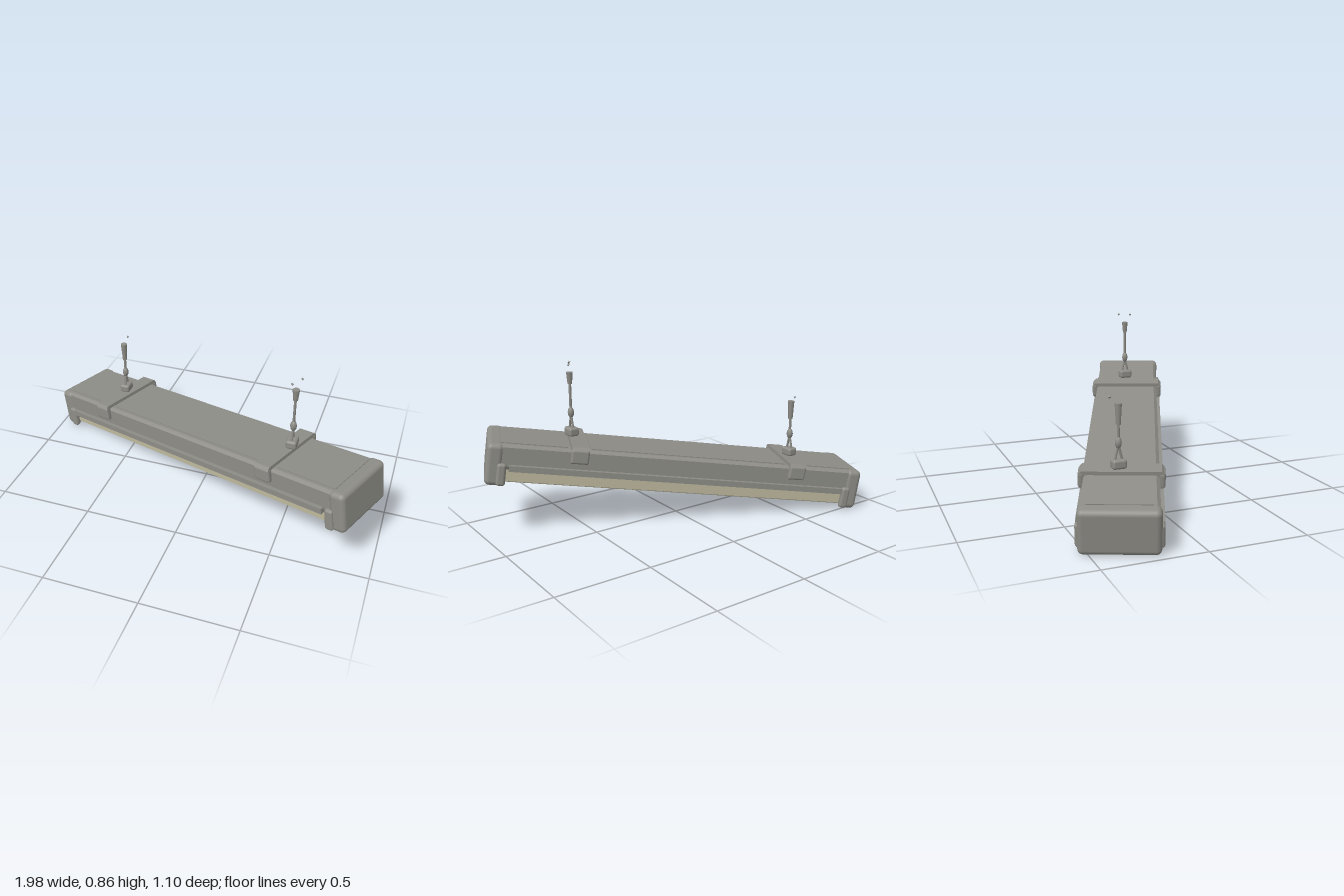
import * as THREE from 'three';
import { RoundedBoxGeometry } from 'three/addons/geometries/RoundedBoxGeometry.js';

const grey = new THREE.MeshStandardMaterial({ color: 0x8e8d87 });
grey.name = 'weathered grey metal';
const cream = new THREE.MeshStandardMaterial({ color: 0xcdc8aa });
cream.name = 'cream diffuser';

function add(parent, name, geometry, material, x = 0, y = 0, z = 0) {
  const mesh = new THREE.Mesh(geometry, material);
  mesh.name = name;
  mesh.position.set(x, y, z);
  parent.add(mesh);
  return mesh;
}

const rounded = (w, h, d, r) => new RoundedBoxGeometry(w, h, d, 3, r);

// Extrudes a mirrored [z, y] half profile along x, centred
function extrudeX(half, length) {
  const mirrored = half.map(([z, y]) => [-z, y]).reverse();
  const shape = new THREE.Shape([...half, ...mirrored].map(([z, y]) => new THREE.Vector2(z, y)));
  const geometry = new THREE.ExtrudeGeometry(shape, { depth: length, bevelEnabled: false });
  return geometry.translate(0, 0, -length / 2).rotateY(Math.PI / 2);
}

// Clamp over the housing with a flap down each side
function makeStrap(x) {
  const strap = new THREE.Group();
  strap.name = 'strap';
  strap.position.x = x;
  const profile = [[0.174, 0.105], [0.174, 0.045], [0.185, 0.038], [0.198, 0.045], [0.198, 0.112], [0.186, 0.125]];
  add(strap, 'strapBand', extrudeX(profile, 0.088), grey);
  for (const side of [-1, 1]) {
    add(strap, 'strapFlap', rounded(0.092, 0.075, 0.03, 0.012), grey, 0, 0.078, side * 0.188);
  }
  return strap;
}

// Vertical hanger: foot, two legs, bead, rod, upper link and loose tips
function makeHanger(x, y, z, linkY, linkHeight, tips) {
  const hanger = new THREE.Group();
  hanger.name = 'hanger';
  hanger.position.set(x, y, z);
  const rod = (name, h, r, py, px = 0, pz = 0) =>
    add(hanger, name, new THREE.CylinderGeometry(r, r, h, 6), grey, px, py, pz);
  add(hanger, 'hangerFoot', rounded(0.055, 0.045, 0.07, 0.012), grey, 0, 0.01, 0);
  for (const side of [-1, 1]) {
    const leg = rod('hangerLeg', 0.07, 0.006, 0.06, 0, side * 0.01);
    leg.rotation.x = -side * 0.25;
  }
  const bead = add(hanger, 'hangerBead', new THREE.SphereGeometry(0.017, 8, 6), grey, 0, 0.11, 0);
  bead.scale.y = 1.7;
  const rodTop = linkY - linkHeight / 2;
  rod('hangerRod', rodTop - 0.12, 0.007, (rodTop + 0.12) / 2);
  add(hanger, 'hangerLink', new THREE.CylinderGeometry(0.018, 0.012, linkHeight, 8), grey, 0, linkY, 0);
  for (const [px, py, pz] of tips) {
    add(hanger, 'hangerTip', new THREE.OctahedronGeometry(0.008), grey, px, py, pz);
  }
  return hanger;
}

export function createModel() {
  const model = new THREE.Group();
  model.name = 'hangingLightFixture';

  // Tilted lamp body, long axis along local x
  const lamp = new THREE.Group();
  lamp.name = 'lampBody';
  lamp.rotation.set(0, -0.398, 0.149, 'YZX');
  lamp.position.y = 0.26;
  model.add(lamp);

  // Upper housing with chamfered top edges
  add(lamp, 'housing', extrudeX([[0.168, -0.02], [0.176, -0.005], [0.176, 0.094], [0.16, 0.107]], 1.92), grey);

  // Shallow top panels between and beyond the straps
  for (const [from, to] of [[-0.94, -0.68], [-0.56, 0.49], [0.61, 0.94]]) {
    add(lamp, 'topPanel', new THREE.BoxGeometry(to - from, 0.008, 0.29), grey, (from + to) / 2, 0.107, 0);
  }

  // Diffuser with sloping sides
  add(lamp, 'diffuser', extrudeX([[0.152, -0.09], [0.16, -0.084], [0.172, -0.02]], 1.86), cream);

  // End caps and projecting side lips with rounded clips
  for (const end of [-1, 1]) {
    add(lamp, 'endCap', rounded(0.085, 0.217, 0.366, 0.026), grey, end * 0.962, 0, 0);
    for (const side of [-1, 1]) {
      add(lamp, 'endClip', rounded(0.045, 0.115, 0.034, 0.014), grey, end * 0.925, -0.045, side * 0.18);
    }
  }
  for (const side of [-1, 1]) {
    add(lamp, 'sideLip', new THREE.BoxGeometry(1.79, 0.03, 0.028), grey, -0.005, -0.008, side * 0.183);
  }

  // Straps and hangers
  lamp.add(makeStrap(-0.618), makeStrap(0.548));
  model.add(
    makeHanger(-0.585, 0.305, -0.262, 0.245, 0.1, [[0.01, 0.325, -0.038]]),
    makeHanger(0.515, 0.495, 0.203, 0.29, 0.06, [[-0.015, 0.365, 0.028], [0.02, 0.365, -0.03]])
  );
  return model;
}
